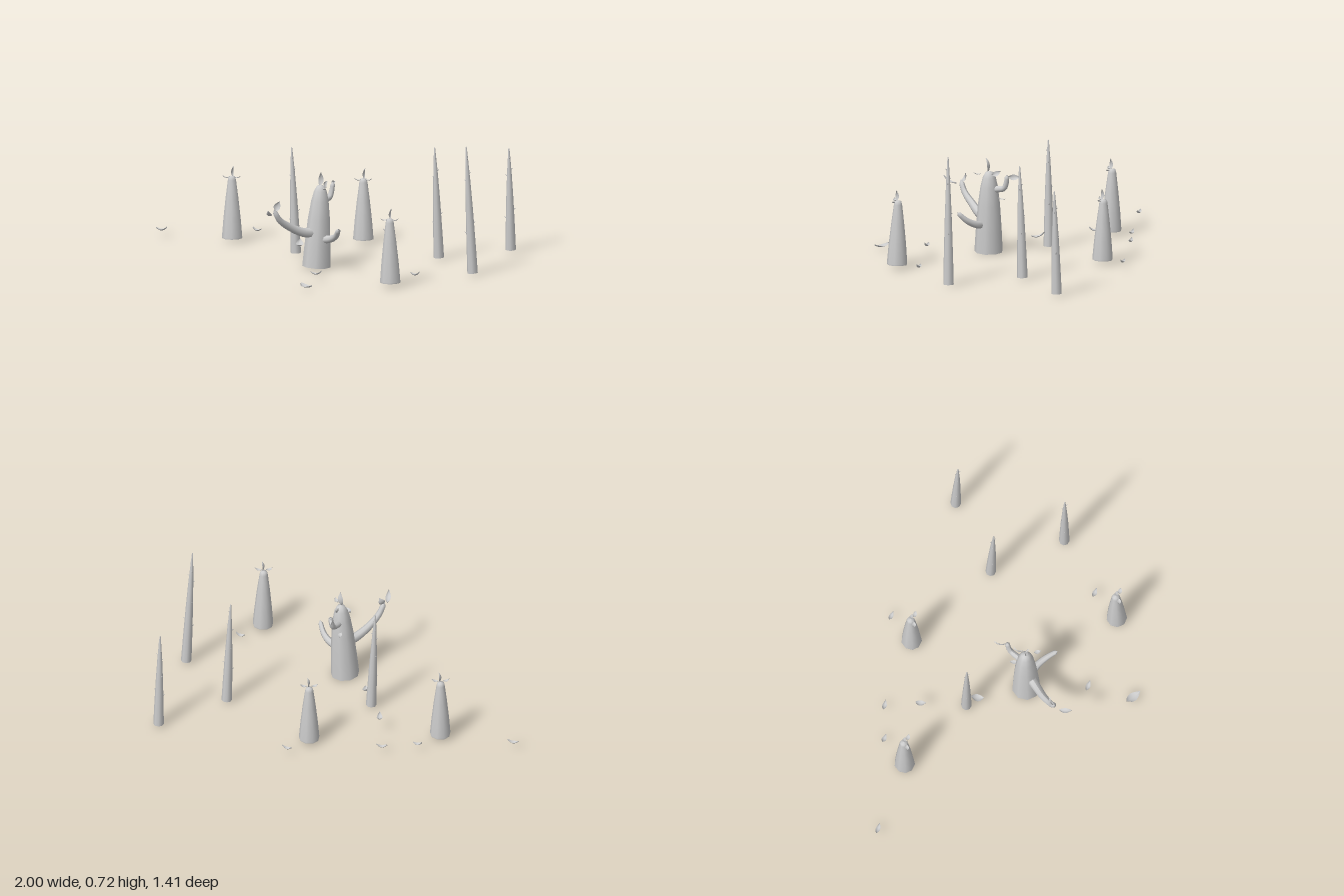
import * as THREE from 'three';

const V = (x, y, z) => new THREE.Vector3(x, y, z);
const UP = V(0, 1, 0);
const material = new THREE.MeshStandardMaterial({ color: 0xcccccc, side: THREE.DoubleSide });

function part(name, geometry) {
  const mesh = new THREE.Mesh(geometry, material);
  mesh.name = name;
  return mesh;
}

// Pointed, cupped leaf from base a to tip b; normal is its upper side
function leaf(name, a, b, width, normal = UP, curl = 0.012) {
  const geo = new THREE.PlaneGeometry(1, 1, 4, 8);
  const along = b.clone().sub(a);
  const side = along.clone().cross(normal).normalize();
  const up = side.clone().cross(along).normalize();
  const pos = geo.attributes.position;
  for (let i = 0; i < pos.count; i++) {
    const t = pos.getY(i) + 0.5, s = pos.getX(i);
    const w = width * Math.sin(Math.PI * Math.pow(t, 0.85));
    const rise = curl * (4 * (t - 0.5) ** 2 + 2 * s * s - 0.5);
    const p = a.clone().addScaledVector(along, t).addScaledVector(side, s * w).addScaledVector(up, rise);
    pos.setXYZ(i, p.x, p.y, p.z);
  }
  geo.computeVertexNormals();
  return part(name, geo);
}

// Open-bottomed round body, lathed along the line from base to top
function body(name, base, top, profile, sides) {
  const length = base.distanceTo(top);
  const points = profile.map(([r, t]) => new THREE.Vector2(r, t * length));
  const mesh = part(name, new THREE.LatheGeometry(points, sides));
  mesh.position.copy(base);
  mesh.quaternion.setFromUnitVectors(UP, top.clone().sub(base).normalize());
  return mesh;
}

// Tapered tube with a rounded end
function arm(name, points, r0, r1) {
  const curve = new THREE.CatmullRomCurve3(points);
  const n = 16, sides = 8;
  const geo = new THREE.TubeGeometry(curve, n, 1, sides);
  const pos = geo.attributes.position;
  for (let i = 0; i <= n; i++) {
    const c = curve.getPointAt(i / n);
    const r = i === n ? 0.003 : r0 + (r1 - r0) * i / n;
    for (let j = 0; j <= sides; j++) {
      const k = i * (sides + 1) + j;
      const p = V().fromBufferAttribute(pos, k).sub(c).multiplyScalar(r).add(c);
      pos.setXYZ(k, p.x, p.y, p.z);
    }
  }
  geo.computeVertexNormals();
  return part(name, geo);
}

// Large stump with three arms, each ending in leaves
function largeStump() {
  const g = new THREE.Group();
  g.name = 'largeStump';
  g.add(body('stumpBody', V(-0.067, 0.007, 0.076), V(-0.043, 0.465, 0.07),
    [[0.079, 0], [0.073, 0.25], [0.062, 0.58], [0.049, 0.8], [0.036, 0.92], [0.022, 0.98], [0, 1]], 9));
  g.add(arm('rightArm', [V(-0.08, 0.2, 0.1), V(-0.13, 0.207, 0.135), V(-0.2, 0.243, 0.18),
    V(-0.26, 0.295, 0.228), V(-0.288, 0.355, 0.25)], 0.028, 0.014));
  g.add(arm('leftArm', [V(-0.04, 0.163, 0.1), V(0.01, 0.172, 0.135), V(0.045, 0.197, 0.18),
    V(0.066, 0.248, 0.235)], 0.024, 0.012));
  g.add(arm('backArm', [V(-0.045, 0.36, 0.06), V(-0.02, 0.368, 0.015), V(0, 0.378, -0.015),
    V(0.01, 0.41, -0.028), V(0.017, 0.455, -0.034)], 0.02, 0.012));
  g.add(leaf('topLeaf', V(-0.045, 0.455, 0.07), V(-0.038, 0.538, 0.08), 0.032, V(-0.4, 0, 1)));
  g.add(leaf('topBackLeaf', V(-0.025, 0.443, 0.052), V(-0.02, 0.468, 0.003), 0.03, V(1, 0.6, 0)));
  g.add(leaf('topFrontLeaf', V(-0.025, 0.448, 0.115), V(-0.015, 0.455, 0.155), 0.022, UP, 0.006));
  g.add(leaf('bodyLeaf', V(-0.04, 0.312, 0.025), V(-0.035, 0.306, -0.018), 0.022, UP, 0.005));
  g.add(leaf('rightArmUpLeaf', V(-0.285, 0.345, 0.24), V(-0.262, 0.397, 0.215), 0.038, V(0.2, 0, 1)));
  g.add(leaf('rightArmFrontLeaf', V(-0.305, 0.325, 0.28), V(-0.317, 0.364, 0.352), 0.03));
  g.add(leaf('backArmLeaf', V(0.012, 0.443, -0.038), V(0.015, 0.443, -0.106), 0.032, V(1, 0.4, 0)));
  return g;
}

// Small stump topped by three leaves
function smallStump([x, z, height, lean]) {
  const g = new THREE.Group();
  g.name = 'smallStump';
  const tx = x + lean;
  g.add(body('stumpBody', V(x, 0.022, z), V(tx, height, z - 0.005),
    [[0.056, 0], [0.057, 0.02], [0.049, 0.3], [0.037, 0.62], [0.023, 0.93], [0.018, 0.985], [0, 1]], 9));
  g.add(leaf('topLeaf', V(tx, height - 0.005, z), V(tx + 0.004, height + 0.056, z), 0.024, V(1, 0, 0.6), 0.008));
  for (const s of [-1, 1])
    g.add(leaf('sideLeaf', V(tx + s * 0.014, height - 0.01, z + 0.012),
      V(tx + s * 0.05, height - 0.002, z + 0.02), 0.022, UP, 0.007));
  return g;
}

// Slender tapering pole with short thorns
const thorns = [[0.32, 3.3], [0.4, 0.2], [0.55, 2.2], [0.73, 3.2], [0.79, 0], [0.83, 1.8], [0.9, 5.2]];
function pole([x, z, tx, tz, height]) {
  const g = new THREE.Group();
  g.name = 'thornyPole';
  const base = V(x, 0.012, z), top = V(tx, height, tz);
  g.add(body('poleBody', base, top,
    [[0.029, 0], [0.026, 0.2], [0.02, 0.5], [0.013, 0.75], [0.006, 0.93], [0.0035, 0.99], [0, 1]], 8));
  for (const [t, angle] of thorns) {
    const out = V(Math.cos(angle), 0, -Math.sin(angle));
    const r = t < 0.5 ? 0.029 - 0.018 * t : 0.036 - 0.032 * t;
    const thorn = part('thorn', new THREE.ConeGeometry(0.005, 0.022, 5));
    thorn.position.copy(base).lerp(top, t).addScaledVector(out, r + 0.002);
    thorn.quaternion.setFromUnitVectors(UP, out.clone().add(V(0, 0.7, 0)).normalize());
    g.add(thorn);
  }
  return g;
}

export function createModel() {
  const model = new THREE.Group();
  model.name = 'stumpGrove';
  model.add(largeStump());

  // x, z, top height, lean
  [[-0.573, -0.553, 0.372, -0.002], [0.148, -0.573, 0.364, 0], [0.371, 0.54, 0.382, -0.004]]
    .forEach((s) => model.add(smallStump(s)));

  // base x, base z, top x, top z, height
  [[-0.202, -0.243, -0.225, -0.238, 0.607], [0.59, -0.172, 0.568, -0.154, 0.635],
    [0.802, 0.216, 0.767, 0.222, 0.724], [0.971, -0.396, 0.962, -0.383, 0.588]]
    .forEach((p) => model.add(pole(p)));

  // Fallen leaves: base x y z, tip x y z, width
  const fallen = [
    [-1, 0.038, -0.675, -0.94, 0.042, -0.66, 0.025],
    [-0.47, 0.046, -0.685, -0.42, 0.04, -0.668, 0.025],
    [-0.278, 0.042, -0.695, -0.22, 0.04, -0.685, 0.025],
    [0.25, 0.04, -0.705, 0.3, 0.046, -0.685, 0.024],
    [-0.24, 0.094, -0.52, -0.243, 0.104, -0.46, 0.032],
    [-0.175, 0.062, -0.152, -0.178, 0.088, -0.226, 0.042],
    [-0.075, 0.036, 0.407, -0.015, 0.044, 0.425, 0.026],
    [0.475, 0.038, 0.4, 0.525, 0.046, 0.418, 0.026],
    [-0.115, 0.022, 0.632, -0.05, 0.022, 0.705, 0.05],
  ];
  for (const [ax, ay, az, bx, by, bz, w] of fallen)
    model.add(leaf('fallenLeaf', V(ax, ay, az), V(bx, by, bz), w, UP, 0.014));
  return model;
}
